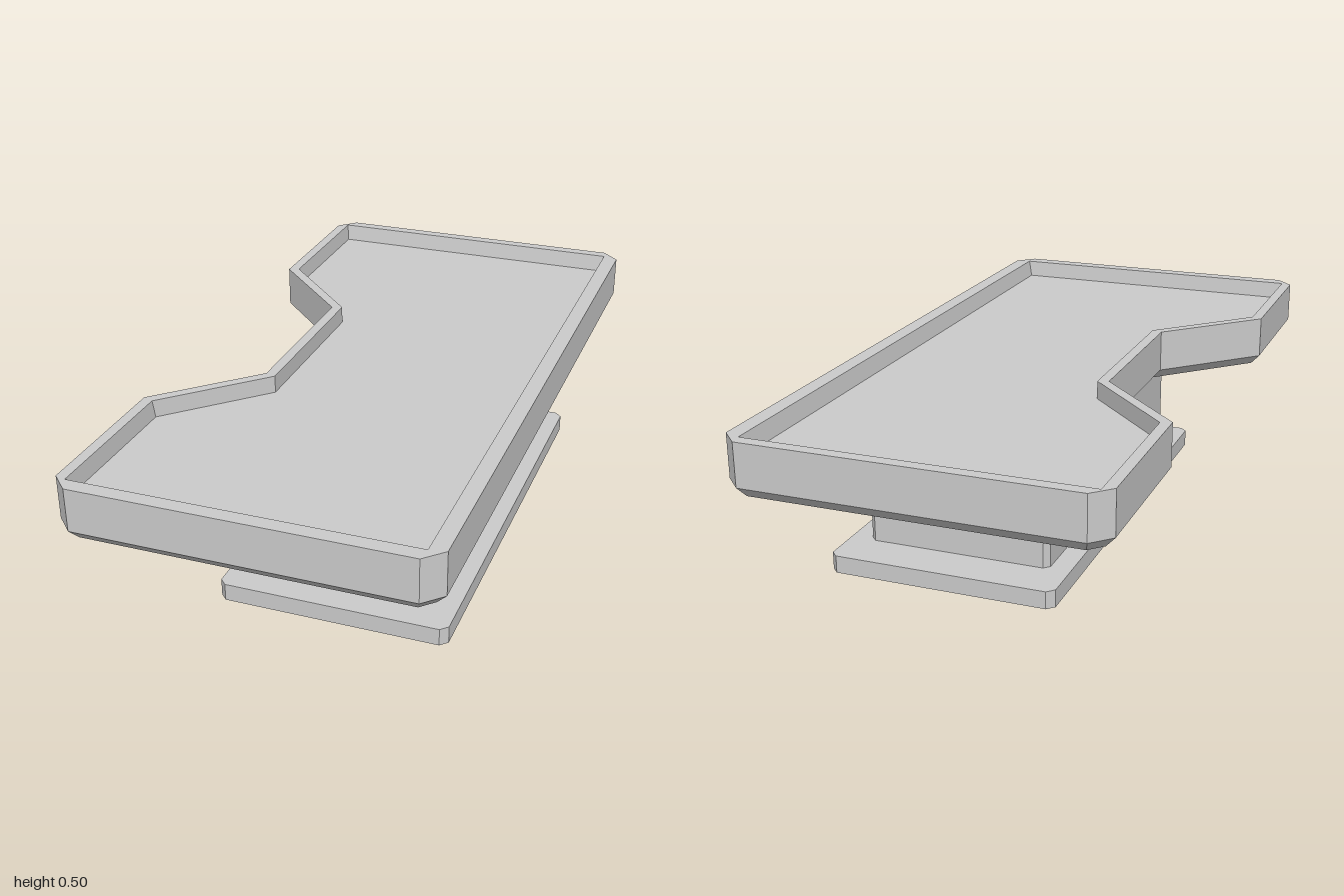
import * as THREE from 'three';

const material = new THREE.MeshStandardMaterial({ color: 0xcccccc, flatShading: true });

// Outlines are [x, z] points running counterclockwise as seen from above.
function chamferedRect(x0, x1, z0, z1, c) {
  return [[x1 - c, z1], [x1, z1 - c], [x1, z0 + c], [x1 - c, z0],
    [x0 + c, z0], [x0, z0 + c], [x0, z1 - c], [x0 + c, z1]];
}

// Moves every edge of an outline inwards by t, with mitred corners.
function inset(outline, t) {
  const n = outline.length;
  const normal = (a, b) => {
    const dx = b[0] - a[0], dz = b[1] - a[1], l = Math.hypot(dx, dz);
    return [dz / l, -dx / l];
  };
  return outline.map((p, i) => {
    const a = normal(outline[(i + n - 1) % n], p);
    const b = normal(p, outline[(i + 1) % n]);
    const k = t / (1 + a[0] * b[0] + a[1] * b[1]);
    return [p[0] + (a[0] + b[0]) * k, p[1] + (a[1] + b[1]) * k];
  });
}

// Joins a stack of outlines [{ y, outline }] into a solid with flat end caps.
function loft(name, rings) {
  const positions = [];
  const n = rings[0].outline.length;
  const point = (ring, i) => new THREE.Vector3(ring.outline[i][0], ring.y, ring.outline[i][1]);
  const tri = (a, b, c) => {
    const area = b.clone().sub(a).cross(c.clone().sub(a)).length();
    if (area > 1e-9) for (const p of [a, b, c]) positions.push(p.x, p.y, p.z);
  };
  for (let r = 0; r < rings.length - 1; r++) {
    for (let i = 0; i < n; i++) {
      const j = (i + 1) % n;
      const a = point(rings[r], i), b = point(rings[r], j);
      const c = point(rings[r + 1], j), d = point(rings[r + 1], i);
      tri(a, b, c);
      tri(a, c, d);
    }
  }
  const cap = (ring, up) => {
    const flat = ring.outline.map(([x, z]) => new THREE.Vector2(x, -z));
    for (const [a, b, c] of THREE.ShapeUtils.triangulateShape(flat, [])) {
      tri(point(ring, a), point(ring, up ? b : c), point(ring, up ? c : b));
    }
  };
  cap(rings[0], false);
  cap(rings[rings.length - 1], true);

  const geometry = new THREE.BufferGeometry();
  geometry.setAttribute('position', new THREE.Float32BufferAttribute(positions, 3));
  geometry.computeVertexNormals();
  const mesh = new THREE.Mesh(geometry, material);
  mesh.name = name;
  return mesh;
}

// Table outline: chamfered corners and a trapezoid notch on the -x side.
const outer = [[0.45, 1], [0.5, 0.95], [0.5, -0.95], [0.45, -1], [-0.45, -1], [-0.5, -0.95],
  [-0.5, -0.5], [-0.25, -0.25], [-0.25, 0.25], [-0.5, 0.5], [-0.5, 0.95], [-0.45, 1]];

// Tray outline: square corners (doubled to pair with the chamfers outside).
function tray(left, right, back, front, shoulder) {
  return [[right, front], [right, front], [right, back], [right, back], [left, back], [left, back],
    [left, -shoulder], [-0.22, -0.26], [-0.22, 0.26], [left, shoulder], [left, front], [left, front]];
}

export function createModel() {
  const group = new THREE.Group();
  group.name = 'table';

  // Foot plate
  const foot = chamferedRect(-0.237, 0.412, -0.647, 0.645, 0.02);
  group.add(loft('footPlate', [{ y: 0, outline: foot }, { y: 0.05, outline: foot }]));

  // Pedestal
  const pedestal = chamferedRect(-0.177, 0.353, -0.52, 0.537, 0.016);
  group.add(loft('pedestal', [{ y: 0.05, outline: pedestal }, { y: 0.35, outline: pedestal }]));

  // Table top: bevelled underside, straight edge, raised rim and sunken surface
  group.add(loft('tableTop', [
    { y: 0.35, outline: inset(outer, 0.027) },
    { y: 0.38, outline: outer },
    { y: 0.5, outline: outer },
    { y: 0.5, outline: tray(-0.47, 0.455, -0.966, 0.958, 0.512) },
    { y: 0.45, outline: tray(-0.465, 0.445, -0.957, 0.952, 0.507) },
  ]));

  return group;
}
